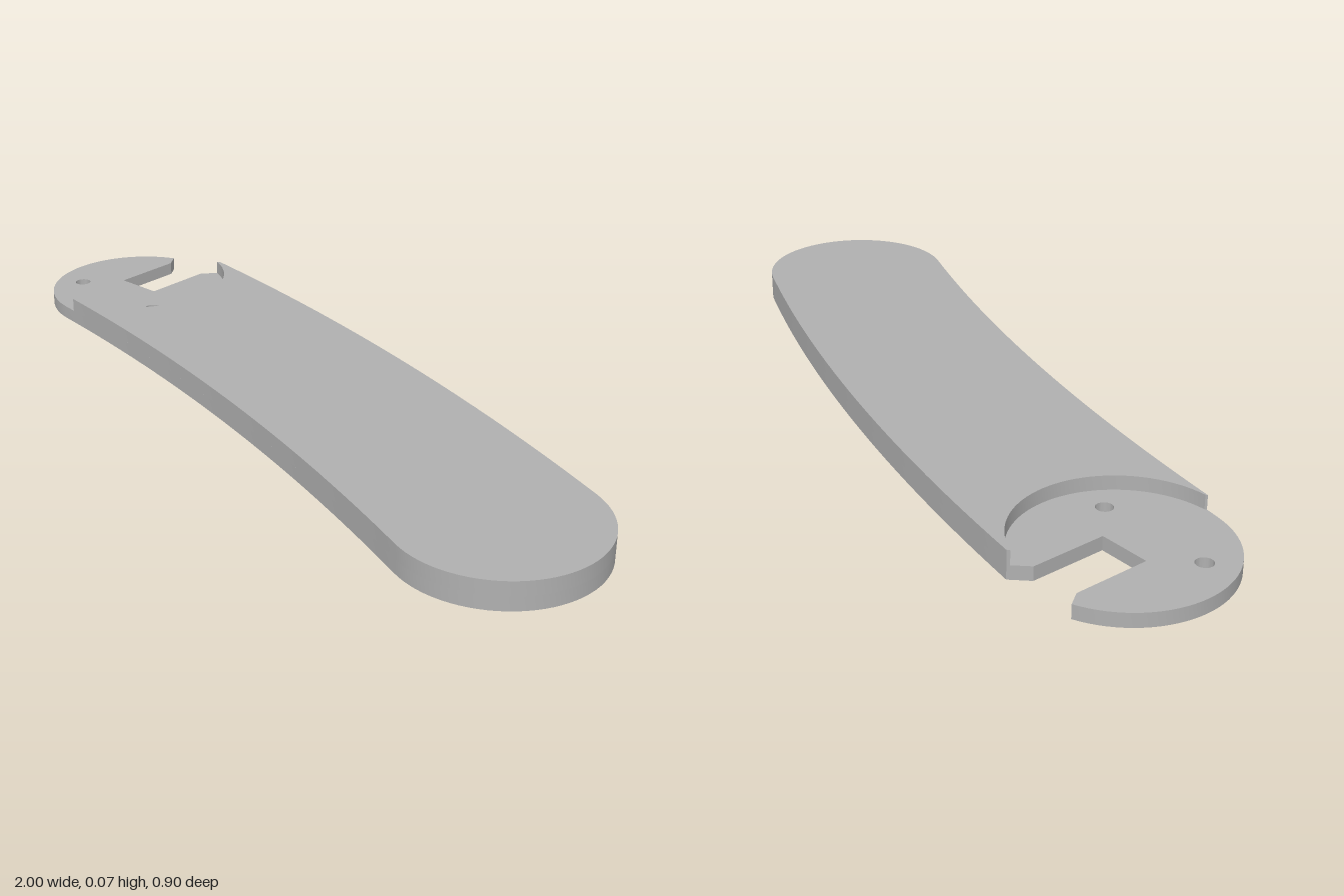
import * as THREE from 'three';
import { toCreasedNormals } from 'three/addons/utils/BufferGeometryUtils.js';

const V = (x, y) => new THREE.Vector2(x, y);
const rad = THREE.MathUtils.degToRad;

// Points along a circular arc, from angle a to angle b
function arc(c, r, a, b, n) {
  return Array.from({ length: n + 1 }, (_, i) => {
    const t = a + (b - a) * i / n;
    return V(c.x + r * Math.cos(t), c.y + r * Math.sin(t));
  });
}

// Flat outline (x, -z) extruded upwards from y0 to y1
function slab(name, points, holes, y0, y1, material) {
  const shape = new THREE.Shape(points);
  shape.holes.push(...holes);
  const geo = new THREE.ExtrudeGeometry(shape, { depth: y1 - y0, bevelEnabled: false, curveSegments: 16 });
  geo.rotateX(-Math.PI / 2);
  geo.translate(0, y0, 0);
  const mesh = new THREE.Mesh(toCreasedNormals(geo, 0.35), material);
  mesh.name = name;
  return mesh;
}

export function createModel() {
  const grey = new THREE.MeshStandardMaterial({ color: 0xb0b0b0 });
  grey.name = 'grey';

  const step = 0.033, top = 0.067, r = 0.236;
  const hub = V(-0.764, 0.226), tip = V(0.76, -0.21);

  // Gently bowed centre line from the hub to the tip
  const chord = tip.clone().sub(hub);
  const half = rad(7);
  const R = chord.length() / 2 / Math.sin(half);
  const a0 = Math.PI / 2 + chord.angle() - 2 * Math.PI + half;
  const a1 = a0 - 2 * half;
  const bow = V(hub.x - R * Math.cos(a0), hub.y - R * Math.sin(a0));
  const angleAt = (x, radius) => Math.acos((x - bow.x) / radius);

  // Rounded tip and long upper edge, shared by both layers
  const farSide = [
    ...arc(tip, r, a1 - Math.PI, a1, 40).slice(1),
    ...arc(bow, R + r, a1, angleAt(-0.67, R + r), 28).slice(1),
  ];

  // Lower plate with chamfered slot and two screw holes
  const plate = [
    ...arc(hub, r, rad(112), a0 + Math.PI, 36),
    ...arc(bow, R - r, a0, a1, 28).slice(1),
    ...farSide,
    V(-0.707, 0.412), V(-0.707, 0.228), V(-0.83, 0.228), V(-0.83, 0.412),
  ];
  const holes = [-0.906, -0.623].map((x) => new THREE.Path().absarc(x, 0.144, 0.02, 0, Math.PI * 2, true));

  // Upper layer, cut away by the round recess
  const body = [
    ...arc(bow, R - r, angleAt(-0.764, R - r), a1, 28),
    ...farSide,
    ...arc(hub, r, rad(68), rad(-89), 40),
  ];

  const group = new THREE.Group();
  group.name = 'slottedArm';
  group.add(
    slab('basePlate', plate, holes, 0, step, grey),
    slab('raisedBody', body, [], step, top, grey),
  );
  return group;
}
